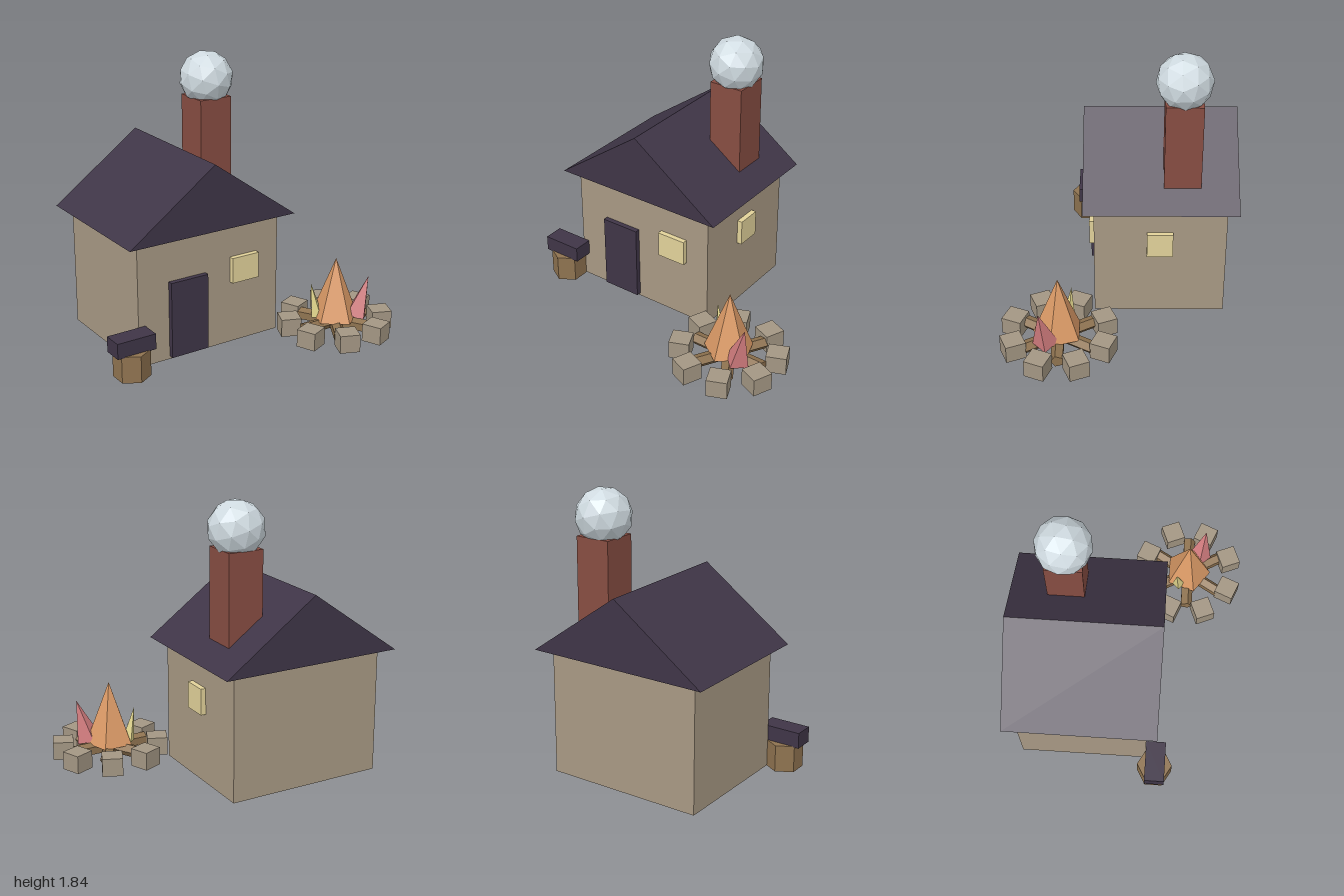
import * as THREE from 'three';

const mat = (color) => new THREE.MeshStandardMaterial({ color, flatShading: true });

export function createModel() {
  const model = new THREE.Group();
  const wall = mat(0xa89984), dark = mat(0x3f3547), brick = mat(0x874d42), glass = mat(0xe2d29a);
  const wood = mat(0x8f7350), stone = mat(0xa39683);

  const add = (name, geometry, material, x = 0, y = 0, z = 0, parent = model) => {
    const mesh = new THREE.Mesh(geometry, material);
    mesh.name = name;
    mesh.position.set(x, y, z);
    parent.add(mesh);
    return mesh;
  };
  // box given by its extents on each axis
  const box = (name, material, [x0, x1], [y0, y1], [z0, z1]) =>
    add(name, new THREE.BoxGeometry(x1 - x0, y1 - y0, z1 - z0), material,
      (x0 + x1) / 2, (y0 + y1) / 2, (z0 + z1) / 2);

  // house
  box('walls', wall, [-0.775, 0.29], [0, 0.84], [-0.7, 0.165]);
  box('door', dark, [-0.55, -0.275], [0.02, 0.54], [0.13, 0.2]);
  box('frontWindow', glass, [-0.085, 0.12], [0.43, 0.605], [0.13, 0.2]);
  box('sideWindow', glass, [0.255, 0.325], [0.47, 0.645], [-0.35, -0.18]);

  // gabled roof with overhang
  const gable = new THREE.Shape([[-0.86, 0.835], [0.38, 0.835], [-0.24, 1.28]]
    .map(([x, y]) => new THREE.Vector2(x, y)));
  add('roof', new THREE.ExtrudeGeometry(gable, { depth: 1.005, bevelEnabled: false }), dark, 0, 0, -0.77);

  // chimney and smoke puff
  box('chimney', brick, [-0.015, 0.225], [0.86, 1.54], [-0.525, -0.285]);
  add('smoke', new THREE.IcosahedronGeometry(0.183, 1), mat(0xcfdae0), 0.105, 1.66, -0.405)
    .rotation.set(0.3, 0.5, 0.2);

  // chopping stump with a block on top
  add('stump', new THREE.CylinderGeometry(0.12, 0.12, 0.18, 6), wood, -0.865, 0.09, 0.23);
  box('stumpBlock', dark, [-1, -0.727], [0.175, 0.28], [0.165, 0.3]);

  // campfire
  const fire = new THREE.Group();
  fire.name = 'campfire';
  fire.position.set(0.62, 0, 0.39);
  model.add(fire);

  // ring of stones
  for (let i = 0; i < 8; i++) {
    const a = (i + 0.5) * Math.PI / 4;
    add('fireStone', new THREE.BoxGeometry(0.135, 0.122, 0.135), stone,
      0.316 * Math.cos(a), 0.061, 0.316 * Math.sin(a), fire).rotation.y = -a;
  }

  // three crossed logs
  for (let i = 0; i < 3; i++) {
    const log = new THREE.CylinderGeometry(0.044, 0.044, 0.52, 5).rotateZ(Math.PI / 2);
    add('log', log, wood, 0, 0.06, 0, fire).rotation.y = i * Math.PI / 3;
  }

  // flames, each a cone from base to tip
  const flame = (name, color, radius, sides, base, tip) => {
    const from = new THREE.Vector3(...base), axis = new THREE.Vector3(...tip).sub(from);
    const h = axis.length();
    const cone = new THREE.ConeGeometry(radius, h, sides).translate(0, h / 2, 0);
    add(name, cone, mat(color), ...base, fire)
      .quaternion.setFromUnitVectors(new THREE.Vector3(0, 1, 0), axis.normalize());
  };
  flame('mainFlame', 0xdb9a66, 0.165, 5, [0, 0.09, 0], [0, 0.515, 0]);
  flame('redFlame', 0xd27c7e, 0.085, 4, [0.12, 0.1, 0.08], [0.19, 0.38, 0.115]);
  flame('yellowFlame', 0xe2d68c, 0.045, 4, [-0.105, 0.1, -0.06], [-0.145, 0.335, -0.08]);

  return model;
}
